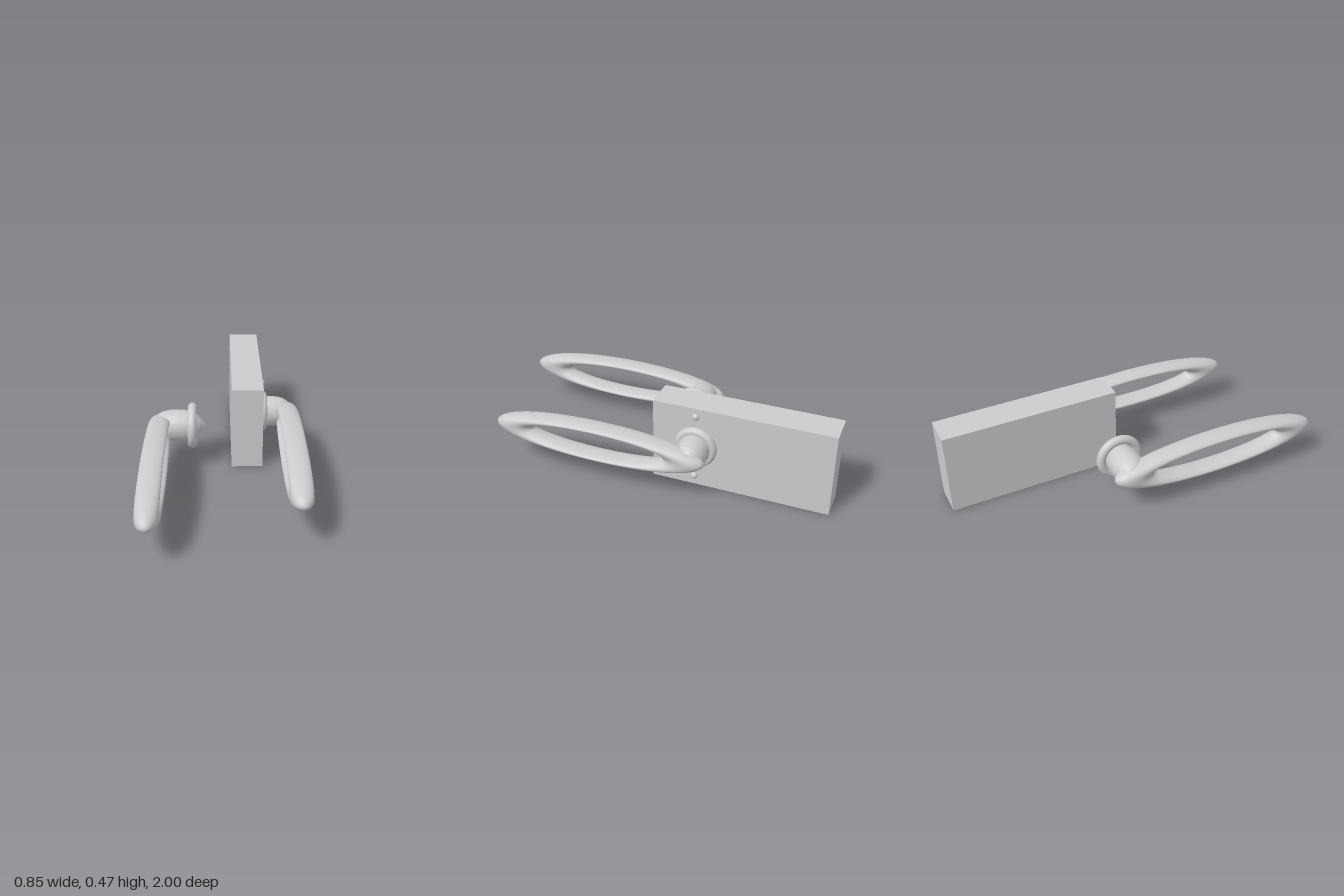
import * as THREE from 'three';

const smooth = new THREE.MeshStandardMaterial({ color: 0xcccccc });
const faceted = new THREE.MeshStandardMaterial({ color: 0xcccccc, flatShading: true });

function add(group, name, geometry, material, x, y, z) {
  const mesh = new THREE.Mesh(geometry, material);
  mesh.name = name;
  mesh.position.set(x, y, z);
  group.add(mesh);
  return mesh;
}

// Long oval grip: a torus around the x axis, squashed in height and thickness
function gripRing(halfLength, halfHeight, halfThickness) {
  const tube = 0.185;
  return new THREE.TorusGeometry(1 - tube, tube, 28, 96)
    .rotateY(Math.PI / 2)
    .scale(halfThickness / tube, halfHeight, halfLength);
}

// Barrel-shaped stem along x, pointed at both ends
function stem(radius, halfLength) {
  const half = [[0, 1], [0.28, 0.89], [0.5, 0.8], [0.71, 0.69], [0.86, 0.55],
    [0.94, 0.4], [0.98, 0.24]];
  const mirrored = half.map(([r, t]) => [r, -t]);
  const profile = [...mirrored, [1, 0], ...half.slice().reverse()]
    .map(([r, t]) => new THREE.Vector2(r * radius, t * halfLength));
  return new THREE.LatheGeometry(profile, 36).rotateZ(-Math.PI / 2);
}

function collar(radius, tube) {
  return new THREE.TorusGeometry(radius - tube, tube, 20, 56).rotateY(Math.PI / 2);
}

export function createModel() {
  const model = new THREE.Group();
  model.name = 'doorHandleSet';

  // Handle mounted on the lock case
  const mounted = new THREE.Group();
  mounted.name = 'mountedHandle';
  add(mounted, 'lockCase', new THREE.BoxGeometry(0.177, 0.472, 0.975), smooth, 0.132, 0.236, -0.5125);
  add(mounted, 'stem', stem(0.088, 0.16), faceted, 0.26, 0.242, -0.268);
  add(mounted, 'collar', collar(0.118, 0.025), smooth, 0.227, 0.243, -0.268);
  add(mounted, 'grip', gripRing(0.607, 0.105, 0.059), smooth, 0.367, 0.24, 0.243);
  for (const y of [0.053, 0.423]) {
    add(mounted, 'screwHead', new THREE.SphereGeometry(0.02, 16, 12), smooth, 0.217, y, -0.262);
  }

  // Detached handle for the opposite side
  const loose = new THREE.Group();
  loose.name = 'detachedHandle';
  add(loose, 'stem', stem(0.091, 0.161), faceted, -0.266, 0.22, -0.117);
  add(loose, 'collar', collar(0.131, 0.025), smooth, -0.181, 0.22, -0.117);
  add(loose, 'grip', gripRing(0.615, 0.114, 0.059), smooth, -0.366, 0.218, 0.385);

  model.add(mounted, loose);
  return model;
}
